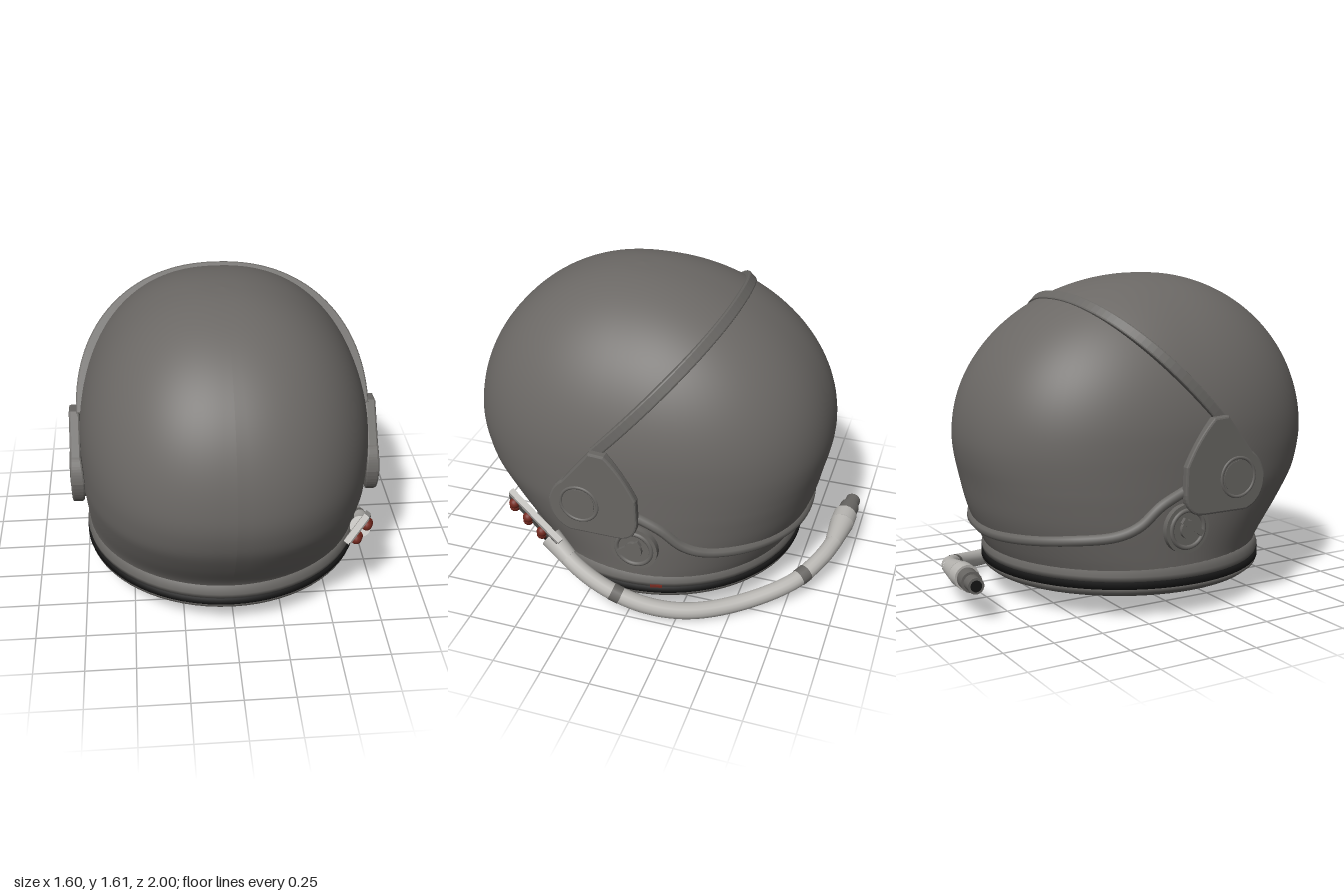
import * as THREE from 'three';

const mat = (name, color, side = THREE.FrontSide) => {
  const m = new THREE.MeshStandardMaterial({ color, side });
  m.name = name;
  return m;
};

// Shell cross-sections: height, half width, front z, back z
const ROWS = [
  [0.22, 0.715, 0.71, -0.69], [0.3, 0.72, 0.745, -0.73], [0.45, 0.73, 0.853, -0.79],
  [0.6, 0.735, 0.945, -0.825], [0.71, 0.737, 0.985, -0.85],
];
// Egg-shaped dome above the widest level
for (let i = 0; i <= 12; i++) {
  const a = i / 12 * Math.PI / 2, c = Math.cos(a);
  ROWS.push([0.81 + 0.81 * Math.sin(a), 0.737 * Math.pow(Math.max(c, 0), 0.93), 0.15 + 0.85 * c, 0.15 - 1.01 * c]);
}
const sideCurve = new THREE.CatmullRomCurve3(ROWS.map(r => new THREE.Vector3(r[1], r[0], 0)), false, 'catmullrom');
const depthCurve = new THREE.CatmullRomCurve3(ROWS.map(r => new THREE.Vector3(r[2], r[0], r[3])), false, 'catmullrom');
const signedPow = (v, e) => Math.sign(v) * Math.pow(Math.abs(v), e);

// Point on the shell at curve parameter t and angle a from the front;
// sections are round at the neck and slightly squared higher up
function shellPoint(t, a) {
  const s = sideCurve.getPoint(t), d = depthCurve.getPoint(t);
  const e = 2 / (2 + 0.26 * THREE.MathUtils.clamp((s.y - 0.25) / 0.35, 0, 1));
  return new THREE.Vector3(
    Math.max(s.x, 0) * signedPow(Math.sin(a), e), s.y,
    (d.x + d.z) / 2 + (d.x - d.z) / 2 * signedPow(Math.cos(a), e));
}

function parameterAtHeight(y) {
  let lo = 0, hi = 1;
  for (let i = 0; i < 24; i++) {
    const mid = (lo + hi) / 2;
    if (sideCurve.getPoint(mid).y < y) lo = mid; else hi = mid;
  }
  return lo;
}

function shellGeometry() {
  const rows = 68, segs = 96;
  const base = Array.from({ length: rows + 1 }, (_, i) => new THREE.Vector2(1, i));
  const g = new THREE.LatheGeometry(base, segs);
  const p = g.attributes.position;
  for (let j = 0; j <= segs; j++) {
    for (let i = 0; i <= rows; i++) {
      const v = shellPoint(i / rows, j / segs * Math.PI * 2);
      p.setXYZ(j * (rows + 1) + i, v.x, v.y, v.z);
    }
  }
  g.computeVertexNormals();
  return g;
}

// Closed ring from radius and height pairs
function ringGeometry(profile) {
  const pts = [...profile, profile[0]].map(([r, y]) => new THREE.Vector2(r, y));
  return new THREE.LatheGeometry(pts, 72);
}

// Flat-sided half hoop, leaning back over the crown
function browGeometry() {
  const arc = (rx, ry) => Array.from({ length: 65 }, (_, i) => {
    const a = i / 64 * Math.PI;
    return new THREE.Vector2(rx * signedPow(Math.cos(a), 0.909), ry * signedPow(Math.sin(a), 0.909));
  });
  const s = new THREE.Shape([...arc(0.735, 0.765), ...arc(0.69, 0.705).reverse()]);
  return new THREE.ExtrudeGeometry(s, {
    depth: 0.04, bevelThickness: 0.008, bevelSize: 0.008, bevelSegments: 2,
  }).translate(0, 0, -0.02).rotateX(-0.742);
}

// Pivot plate: flat outside, its inner face bent to follow the shell
function plateGeometry() {
  const s = new THREE.Shape();
  s.moveTo(-0.16, 0.96);
  s.lineTo(-0.09, 0.955);
  s.quadraticCurveTo(0.0, 0.87, 0.06, 0.74);
  s.lineTo(0.065, 0.61);
  s.quadraticCurveTo(0.06, 0.515, -0.03, 0.515);
  s.lineTo(-0.27, 0.515);
  s.quadraticCurveTo(-0.37, 0.55, -0.37, 0.67);
  s.quadraticCurveTo(-0.35, 0.75, -0.3, 0.78);
  s.closePath();
  const g = new THREE.ExtrudeGeometry(s, {
    depth: 0.02, bevelThickness: 0.01, bevelSize: 0.01, bevelSegments: 2, curveSegments: 10,
  }).rotateY(Math.PI / 2).translate(0.75, 0, 0);
  const p = g.attributes.position;
  for (let i = 0; i < p.count; i++) {
    if (p.getX(i) > 0.76) continue;
    const k = Math.abs(p.getZ(i) - 0.07) / 0.9, h = Math.max(p.getY(i) - 0.81, 0) / 0.81;
    p.setX(i, p.getX(i) - 0.737 * (1 - Math.pow(1 - h * h, 0.465) * Math.pow(1 - Math.pow(k, 2.26), 0.442)));
  }
  g.computeVertexNormals();
  return g;
}

export function createModel() {
  const model = new THREE.Group();
  model.name = 'spaceHelmet';
  const shellGrey = mat('shell grey', 0x6b6865, THREE.DoubleSide);
  const trimGrey = mat('trim grey', 0x686663, THREE.DoubleSide);
  const black = mat('seal black', 0x161616, THREE.DoubleSide);
  const pale = mat('hose pale grey', 0xb8b6b2);
  const red = mat('button red', 0x75291f);

  const add = (parent, name, geometry, material, x = 0, y = 0, z = 0) => {
    const m = new THREE.Mesh(geometry, material);
    m.name = name;
    m.position.set(x, y, z);
    parent.add(m);
    return m;
  };
  const path = pts => new THREE.CatmullRomCurve3(pts);

  const helmet = new THREE.Group();
  helmet.name = 'helmet';
  helmet.position.x = -0.013;
  model.add(helmet);
  add(helmet, 'shell', shellGeometry(), shellGrey);
  add(helmet, 'browBand', browGeometry(), trimGrey, 0, 0.95, 0.15);

  // Neck ring: stacked flanges around a black seal
  add(helmet, 'upperNeckFlange', ringGeometry([[0.66, 0.195], [0.725, 0.195], [0.73, 0.22], [0.715, 0.265], [0.66, 0.265]]), trimGrey, 0, 0, 0.015);
  add(helmet, 'neckSeal', ringGeometry([[0.66, 0.16], [0.732, 0.16], [0.732, 0.195], [0.66, 0.195]]), black, 0, 0, 0.015);
  add(helmet, 'lowerNeckFlange', ringGeometry([[0.65, 0.12], [0.7, 0.12], [0.725, 0.14], [0.725, 0.16], [0.65, 0.16]]), trimGrey, 0, 0, 0.015);
  // Small red latch mark on the ring
  add(helmet, 'ringMark', new THREE.BoxGeometry(0.009, 0.012, 0.06), red, 0.717, 0.205, -0.15).rotation.y = 0.23;

  // Rim trim around the lower back
  const half = [[95, 0.63], [103, 0.56], [110, 0.47], [118, 0.425], [135, 0.4], [158, 0.375]]
    .map(([deg, y]) => shellPoint(parameterAtHeight(y), deg * Math.PI / 180));
  const back = shellPoint(parameterAtHeight(0.36), Math.PI);
  const mirrored = half.map(v => new THREE.Vector3(-v.x, v.y, v.z)).reverse();
  add(helmet, 'rearRim', new THREE.TubeGeometry(path([...half, back, ...mirrored]), 96, 0.027, 8), trimGrey);

  // Side pivot plates and locking knobs
  const plateGeo = plateGeometry();
  const disc = (r, h) => new THREE.CylinderGeometry(r, r, h, 32).rotateZ(-Math.PI / 2);
  const hoop = (r, t) => new THREE.TorusGeometry(r, t, 8, 40).rotateY(Math.PI / 2);
  for (const side of [1, -1]) {
    const g = new THREE.Group();
    g.name = side > 0 ? 'leftPivot' : 'rightPivot';
    g.scale.x = side;
    helmet.add(g);
    add(g, 'pivotPlate', plateGeo, trimGrey);
    add(g, 'pivotRing', hoop(0.095, 0.009), trimGrey, 0.777, 0.67, 0.22);
    add(g, 'pivotCap', disc(0.08, 0.02), trimGrey, 0.773, 0.67, 0.22);
    add(g, 'knobBase', disc(0.12, 0.03), trimGrey, 0.742, 0.445, -0.05);
    add(g, 'knobRing', hoop(0.09, 0.012), trimGrey, 0.755, 0.445, -0.05);
    add(g, 'knobHub', disc(0.045, 0.03), trimGrey, 0.76, 0.445, -0.05);
    const lever = add(g, 'knobLever', new THREE.BoxGeometry(0.02, 0.03, 0.13), trimGrey, 0.766, 0.455, -0.03);
    lever.rotation.x = 0.6;
  }

  // Control panel: pale backing, grey face and two rows of buttons
  const u = new THREE.Vector3(0.08, -0.2, -0.3).normalize();
  const n = new THREE.Vector3(-0.11, -0.12, 0.06).cross(u).normalize();
  const w = new THREE.Vector3().crossVectors(n, u);
  const panel = new THREE.Group();
  panel.name = 'controlPanel';
  panel.position.set(0.645, 0.43, 0.515);
  panel.quaternion.setFromRotationMatrix(new THREE.Matrix4().makeBasis(u, w, n));
  model.add(panel);
  add(panel, 'panelBacking', new THREE.BoxGeometry(0.36, 0.17, 0.03), pale);
  add(panel, 'panelFace', new THREE.BoxGeometry(0.345, 0.152, 0.008), trimGrey, 0, 0, 0.018);
  const button = new THREE.SphereGeometry(0.028, 16, 10);
  for (let i = 0; i < 3; i++) {
    for (const s of [1, -1]) add(panel, 'button', button, red, -0.125 + i * 0.1, s * 0.043, 0.027);
  }

  // Hose sweeping under the side to the back, with two grey cuffs
  const hose = path([
    [0.69, 0.34, 0.39], [0.735, 0.26, 0.27], [0.755, 0.17, 0.1], [0.735, 0.095, -0.1], [0.67, 0.056, -0.3],
    [0.54, 0.054, -0.52], [0.34, 0.105, -0.77], [0.16, 0.155, -0.88], [0.04, 0.178, -0.92],
  ].map(p => new THREE.Vector3(...p)));
  add(model, 'hose', new THREE.TubeGeometry(hose, 90, 0.043, 14), pale);
  for (const t of [0.27, 0.77]) {
    const piece = path([0, 0.015, 0.03].map(d => hose.getPoint(t + d)));
    add(model, 'hoseCuff', new THREE.TubeGeometry(piece, 6, 0.045, 14), trimGrey);
  }

  // Tapered cylinder between two points
  const link = (name, a, b, ra, rb, material) => {
    const A = new THREE.Vector3(...a), d = new THREE.Vector3(...b).sub(A);
    const m = add(model, name, new THREE.CylinderGeometry(rb, ra, d.length(), 20), material);
    m.position.copy(A).addScaledVector(d, 0.5);
    m.quaternion.setFromUnitVectors(new THREE.Vector3(0, 1, 0), d.normalize());
  };
  link('hoseInlet', [0.68, 0.36, 0.42], [0.72, 0.285, 0.31], 0.055, 0.046, pale);
  link('hoseCone', [0.05, 0.176, -0.917], [-0.12, 0.188, -0.931], 0.043, 0.063, pale);
  link('hoseSleeve', [-0.12, 0.188, -0.931], [-0.2, 0.19, -0.935], 0.063, 0.063, pale);
  link('connectorCollar', [-0.2, 0.19, -0.935], [-0.28, 0.191, -0.945], 0.052, 0.052, trimGrey);
  link('connectorTip', [-0.28, 0.191, -0.945], [-0.35, 0.192, -0.952], 0.04, 0.04, trimGrey);
  link('connectorSocket', [-0.345, 0.192, -0.9515], [-0.353, 0.192, -0.9523], 0.028, 0.028, black);
  return model;
}
